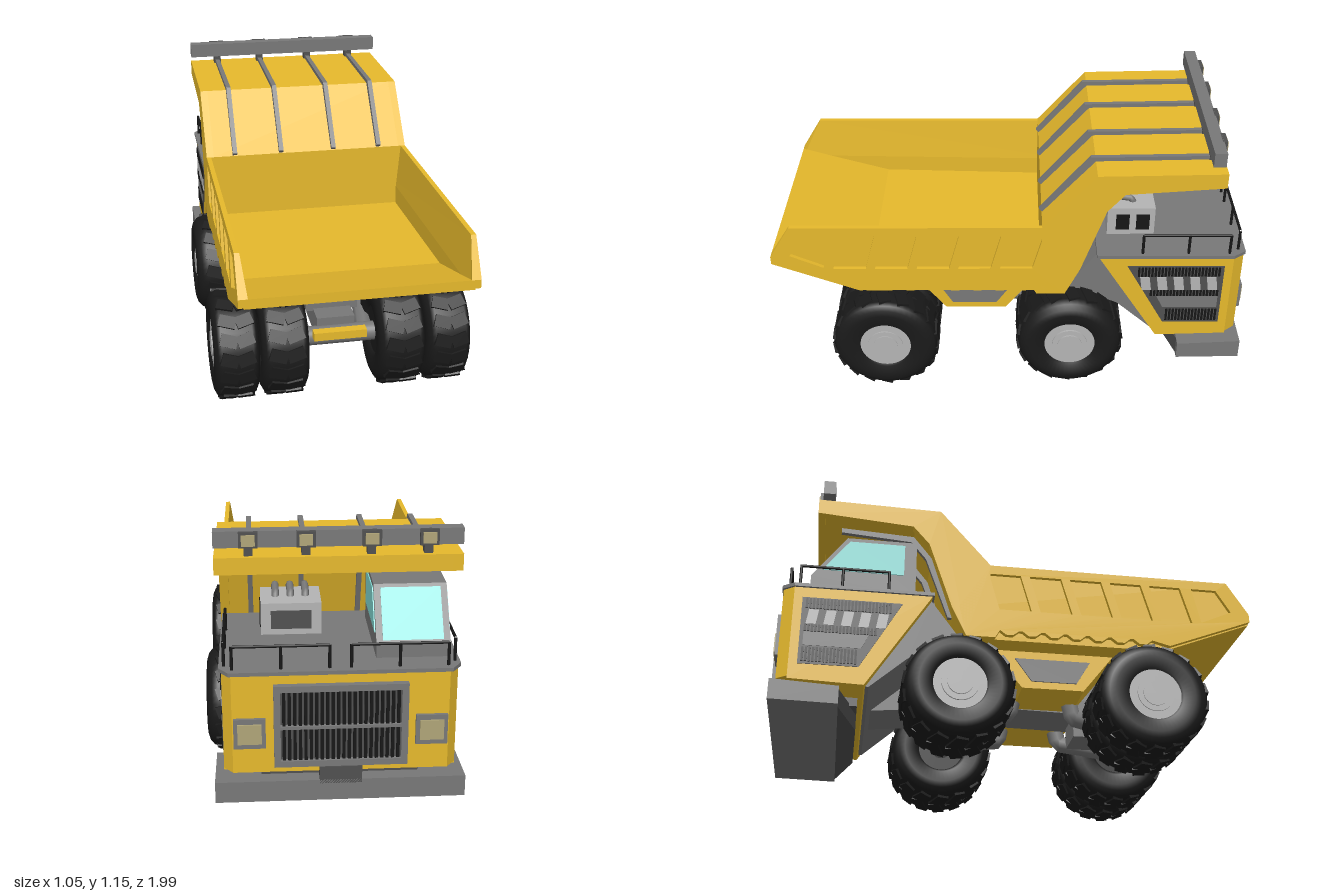
import * as THREE from 'three';
import { mergeGeometries } from 'three/addons/utils/BufferGeometryUtils.js';

const mat = (color) => new THREE.MeshStandardMaterial({ color });

export function createModel() {
  const root = new THREE.Group();
  const yellow = mat(0xe6b92c), grey = mat(0x787878), dark = mat(0x505050), light = mat(0xb4b4b4);
  const black = mat(0x161616), rubber = mat(0x1a1a1a), glass = mat(0x84dcd6), lens = mat(0xb0a578);

  const add = (name, geo, m, parent = root) => {
    const mesh = new THREE.Mesh(geo, m);
    mesh.name = name;
    parent.add(mesh);
    return mesh;
  };
  // box given by its extents
  const boxGeo = (x0, x1, y0, y1, z0, z1) =>
    new THREE.BoxGeometry(x1 - x0, y1 - y0, z1 - z0).translate((x0 + x1) / 2, (y0 + y1) / 2, (z0 + z1) / 2);
  // side profile of [z, y] points, extruded from x0 to x1
  const prof = (pts, x0, x1, holes = []) => {
    const shape = new THREE.Shape(pts.map(([z, y]) => new THREE.Vector2(z, y)));
    for (const h of holes) shape.holes.push(new THREE.Path(h.map(([z, y]) => new THREE.Vector2(z, y))));
    return new THREE.ExtrudeGeometry(shape, { depth: x1 - x0, bevelEnabled: false }).rotateY(-Math.PI / 2).translate(x1, 0, 0);
  };
  // the same on one side of the model: s = 1 for +x, -1 for -x
  const sideProf = (s, pts, d0, d1, holes) => (s > 0 ? prof(pts, d0, d1, holes) : prof(pts, -d1, -d0, holes));
  // move vertices by a rule
  const warp = (geo, rule) => {
    const p = geo.attributes.position;
    for (let i = 0; i < p.count; i++) p.setX(i, rule(p.getX(i), p.getY(i), p.getZ(i)));
    geo.computeVertexNormals();
    return geo;
  };
  const narrow = (geo, zLimit, k) => warp(geo, (x, y, z) => (z < zLimit ? x * k : x));
  const tube = (pts, r) => {
    const path = new THREE.CurvePath();
    const v = pts.map((p) => new THREE.Vector3(...p));
    for (let i = 1; i < v.length; i++) path.add(new THREE.LineCurve3(v[i - 1], v[i]));
    return new THREE.TubeGeometry(path, 8 * (v.length - 1), r, 8);
  };
  const rod = (r, x0, x1, y, z) =>
    new THREE.CylinderGeometry(r, r, x1 - x0, 32).rotateZ(Math.PI / 2).translate((x0 + x1) / 2, y, z);

  // dump bed floor, front wall and canopy
  add('bedFloor', prof([[1, 0.655], [0.6, 0.54], [-0.15, 0.52], [-0.21, 0.465], [0.62, 0.465], [1, 0.615]], -0.435, 0.435), yellow);
  const canopyTop = [[-0.12, 0.8], [-0.335, 1.045], [-0.85, 1.055], [-0.85, 0.99]];
  add('canopy', prof([...canopyTop, [-0.82, 0.99], [-0.82, 1.0], [-0.44, 0.98], [-0.36, 0.88], [-0.265, 0.59], [-0.21, 0.465], [-0.12, 0.465]], -0.425, 0.425), yellow);

  // bed sides with a scalloped lower edge, slanted recesses and flared inner faces
  const scallop = [];
  for (let i = 0; i < 7; i++) {
    const z = -0.08 + i * 0.094;
    scallop.push([z, 0.5], [z + 0.025, 0.48], [z + 0.055, 0.48], [z + 0.08, 0.5]);
  }
  const wall = [[0.91, 0.8], [-0.12, 0.8], [-0.25, 0.6], [-0.22, 0.465], [-0.1, 0.465], ...scallop, [0.64, 0.48], [1, 0.62], [1, 0.655]];
  const recesses = [[[0.92, 0.66], [0.86, 0.76], [0.75, 0.76], [0.785, 0.6]]];
  for (let i = 0; i < 5; i++) {
    const z = 0.745 - i * 0.173;
    recesses.push([[z, 0.595], [z - 0.045, 0.76], [z - 0.18, 0.76], [z - 0.135, 0.595]]);
  }
  const flange = [...canopyTop, [-0.45, 0.96], [-0.38, 0.88], [-0.28, 0.59], [-0.22, 0.465], [-0.12, 0.47]];
  for (const s of [-1, 1]) {
    add('bedSideWall', warp(sideProf(s, wall, 0.42, 0.44), (x, y) => (y > 0.75 ? s * Math.max(Math.abs(x), 0.437) : x)), yellow);
    add('bedSideFrame', sideProf(s, wall, 0.439, 0.457, recesses), yellow);
    add('canopySide', sideProf(s, flange, 0.42, 0.457), yellow);
  }

  // canopy ribs above and below, light bar with lamps
  for (const x of [-0.33, -0.12, 0.12, 0.33]) {
    add('canopyRib', prof([[-0.11, 0.815], [-0.315, 1.062], [-0.79, 1.07], [-0.79, 1.05], [-0.335, 1.04], [-0.125, 0.8]], x - 0.01, x + 0.01), grey);
    add('canopyLowerRib', prof([[-0.75, 1.0], [-0.44, 0.985], [-0.36, 0.89], [-0.265, 0.6], [-0.285, 0.6], [-0.385, 0.875], [-0.45, 0.953], [-0.75, 0.975]], x - 0.01, x + 0.01), grey);
    add('lightBarMount', boxGeo(x - 0.016, x + 0.016, 1.045, 1.09, -0.83, -0.79), dark);
    add('lampHousing', boxGeo(x - 0.035, x + 0.035, 1.09, 1.15, -0.85, -0.83), dark);
    add('lamp', boxGeo(x - 0.025, x + 0.025, 1.098, 1.14, -0.855, -0.845), lens);
  }
  add('lightBar', boxGeo(-0.458, 0.458, 1.088, 1.15, -0.835, -0.785), grey);

  // engine body and deck with chamfered front corners
  add('body', prof([[-0.355, 0.645], [-0.92, 0.645], [-0.92, 0.235], [-0.62, 0.225]], -0.44, 0.44), yellow);
  add('bodyNose', narrow(boxGeo(-0.44, 0.44, 0.245, 0.645, -0.965, -0.92), -0.95, 0.92), yellow);
  add('deck', boxGeo(-0.45, 0.45, 0.64, 0.655, -0.92, -0.35), grey);
  add('deckNose', narrow(boxGeo(-0.45, 0.45, 0.64, 0.655, -0.97, -0.92), -0.95, 0.92), grey);
  add('bodyBackPanel', prof([[-0.23, 0.465], [-0.36, 0.64], [-0.45, 0.6], [-0.66, 0.235], [-0.6, 0.235], [-0.45, 0.37]], -0.4, 0.4), grey);

  for (const s of [-1, 1]) {
    // louvred side panels
    const side = new THREE.Group();
    side.name = 'sideVent';
    add('ventPlate', sideProf(s, [[-0.48, 0.595], [-0.885, 0.595], [-0.885, 0.3], [-0.645, 0.3]], 0.43, 0.443), dark, side);
    const edge = (y) => -0.5 - (0.59 - y) * 0.55;
    const slats = [], stripes = [];
    for (const [y0, y1] of [[0.545, 0.59], [0.442, 0.472], [0.31, 0.372]])
      for (let z = edge(y0); z > -0.87; z -= 0.014) slats.push(sideProf(s, [[z, y0], [z, y1], [z - 0.009, y1], [z - 0.009, y0]], 0.44, 0.447));
    for (let z = -0.545; z > -0.83; z -= 0.07) stripes.push(sideProf(s, [[z, 0.475], [z + 0.01, 0.54], [z - 0.03, 0.54], [z - 0.04, 0.475]], 0.44, 0.446));
    add('ventSlats', mergeGeometries(slats), black, side);
    add('ventStripes', mergeGeometries(stripes), light, side);
    add('ventBand', sideProf(s, [[-0.61, 0.44], [-0.87, 0.44], [-0.87, 0.38], [-0.64, 0.38]], 0.44, 0.445), grey, side);
    root.add(side);

    // headlights
    const hx = s * 0.34;
    add('headlightFrame', boxGeo(hx - 0.06, hx + 0.06, 0.35, 0.47, -0.978, -0.95), grey);
    add('headlight', boxGeo(hx - 0.045, hx + 0.045, 0.37, 0.45, -0.984, -0.97), lens);
  }

  // radiator grille
  add('grillePanel', boxGeo(-0.24, 0.24, 0.28, 0.6, -0.972, -0.95), dark);
  for (const [x0, x1, y0, y1] of [[-0.25, 0.25, 0.58, 0.605], [-0.25, 0.25, 0.275, 0.3], [-0.25, -0.225, 0.3, 0.58], [0.225, 0.25, 0.3, 0.58], [-0.225, 0.225, 0.43, 0.442]])
    add('grilleFrame', boxGeo(x0, x1, y0, y1, -0.99, -0.95), grey);
  const bars = [];
  for (let i = 0; i < 22; i++) bars.push(boxGeo(-0.22 + i * 0.0203, -0.208 + i * 0.0203, 0.3, 0.58, -0.982, -0.965));
  add('grilleBars', mergeGeometries(bars), black);

  // bumper
  add('bumper', prof([[-0.715, 0.2], [-0.985, 0.215], [-0.985, 0.13], [-0.715, 0.125]], -0.474, 0.474), grey);
  add('bumperBack', narrow(boxGeo(-0.2, 0.2, 0.125, 0.2, -0.715, -0.64), -0.7, 2.2), dark);
  add('bumperSupport', boxGeo(-0.3, 0.3, 0.19, 0.26, -0.92, -0.64), dark);
  add('bumperStep', boxGeo(-0.08, 0.08, 0.2, 0.27, -0.985, -0.93), dark);

  // operator cabin
  add('cabin', prof([[-0.43, 0.65], [-0.43, 0.9], [-0.72, 0.9], [-0.86, 0.71], [-0.86, 0.65]], -0.42, -0.14), grey);
  const pane = [[-0.48, 0.74], [-0.48, 0.882], [-0.71, 0.882], [-0.815, 0.74]];
  add('rightWindow', prof(pane, -0.141, -0.136), glass);
  add('leftWindow', prof(pane, -0.424, -0.419), glass);
  add('windshield', prof([[-0.732, 0.89], [-0.855, 0.723], [-0.845, 0.72], [-0.725, 0.885]], -0.395, -0.165), glass);

  // air cleaner and intake pipes on the deck
  add('airCleaner', boxGeo(0.05, 0.29, 0.65, 0.785, -0.6, -0.4), light);
  for (const z of [-0.465, -0.55]) add('airCleanerVent', boxGeo(0.28, 0.294, 0.68, 0.755, z - 0.028, z + 0.028), black);
  add('airCleanerGrille', boxGeo(0.09, 0.25, 0.68, 0.755, -0.606, -0.59), dark);
  for (const x of [0.11, 0.17, 0.23])
    add('intakePipe', tube([[x, 0.6, -0.31], [x, 0.79, -0.39], [x, 0.81, -0.44], [x, 0.8, -0.5], [x, 0.76, -0.52]], 0.015), grey);

  // handrails
  const rails = [];
  for (const s of [-1, 1]) {
    for (const run of [[[0.43, -0.54], [0.43, -0.73], [0.43, -0.9]], [[0.4, -0.94], [0.22, -0.94], [0.04, -0.94]]]) {
      rails.push(tube(run.map(([x, z]) => [s * x, 0.745, z]), 0.006));
      for (const [x, z] of run) rails.push(tube([[s * x, 0.65, z], [s * x, 0.748, z]], 0.006));
    }
  }
  add('handrails', mergeGeometries(rails), black);

  // chassis
  add('mainFrame', prof([[0.62, 0.465], [0.45, 0.37], [0.45, 0.29], [-0.1, 0.3], [-0.7, 0.24], [-0.7, 0.4], [-0.3, 0.465]], -0.11, 0.11), grey);
  add('rearCrossbar', boxGeo(-0.11, 0.11, 0.25, 0.285, 0.6, 0.64), yellow);
  add('sideTank', prof([[0.42, 0.465], [0.29, 0.3], [0.03, 0.3], [-0.1, 0.465]], -0.34, 0.34), yellow);
  for (const s of [-1, 1]) {
    add('tankPanel', sideProf(s, [[0.32, 0.43], [0.26, 0.33], [0.07, 0.33], [0, 0.43]], 0.335, 0.346), grey);
    for (const [z0, z1, z2] of [[0.5, 0.28, 0.26], [-0.2, 0, 0.02]])
      add('suspensionArm', tube([[s * 0.13, 0.21, z0], [s * 0.16, 0.25, z1], [s * 0.16, 0.34, z2]], 0.038), grey);
  }
  add('rearAxle', rod(0.04, -0.16, 0.16, 0.225, 0.545), grey);
  add('rearAxleLink', boxGeo(-0.08, 0.08, 0.2, 0.3, 0.3, 0.54), grey);
  add('frontAxle', rod(0.045, -0.25, 0.25, 0.23, -0.245), grey);

  // wheels: lathed tyre with low chevron lugs; dir is the outer side, rims only where visible
  const wheel = (name, xc, w, z, dir, rimmed) => {
    const g = new THREE.Group();
    g.name = name;
    const h = w / 2;
    const half = [[0.1, 0.8], [0.115, 0.95], [0.165, 1], [0.19, 0.95], [0.21, 0.84], [0.221, 0.68]];
    const line = [...half.map(([r, k]) => [r, -k]), ...half.reverse()];
    add('tyre', new THREE.LatheGeometry(line.map(([r, k]) => new THREE.Vector2(r, k * h)), 48).rotateZ(-Math.PI / 2), rubber, g);
    const lugs = [];
    for (let i = 0; i < 18; i++) for (const s of [-1, 1]) {
      lugs.push(new THREE.BoxGeometry(h * 0.74, 0.026, 0.05).rotateY(s * 0.3).translate(s * h * 0.36, 0.2145, 0)
        .rotateX((i / 18) * Math.PI * 2));
    }
    add('treadLugs', mergeGeometries(lugs), rubber, g);
    add('wheelCore', rod(0.113, -h * 0.8, h * 0.8, 0, 0), rubber, g);
    if (rimmed) {
      const rings = [[0.11, 0.88], [0.075, 0.93], [0.052, 0.97]];
      for (const [r, k] of rings) add('rim', rod(r, 0, h * k, 0, 0).rotateY(dir > 0 ? 0 : Math.PI), light, g);
    }
    g.position.set(xc, 0.231, z);
    root.add(g);
  };
  for (const s of [-1, 1]) {
    wheel('frontWheel', s * 0.37, 0.31, -0.245, s, true);
    wheel('rearOuterWheel', s * 0.435, 0.184, 0.545, s, true);
    wheel('rearInnerWheel', s * 0.239, 0.194, 0.545, s, false);
  }
  return root;
}
